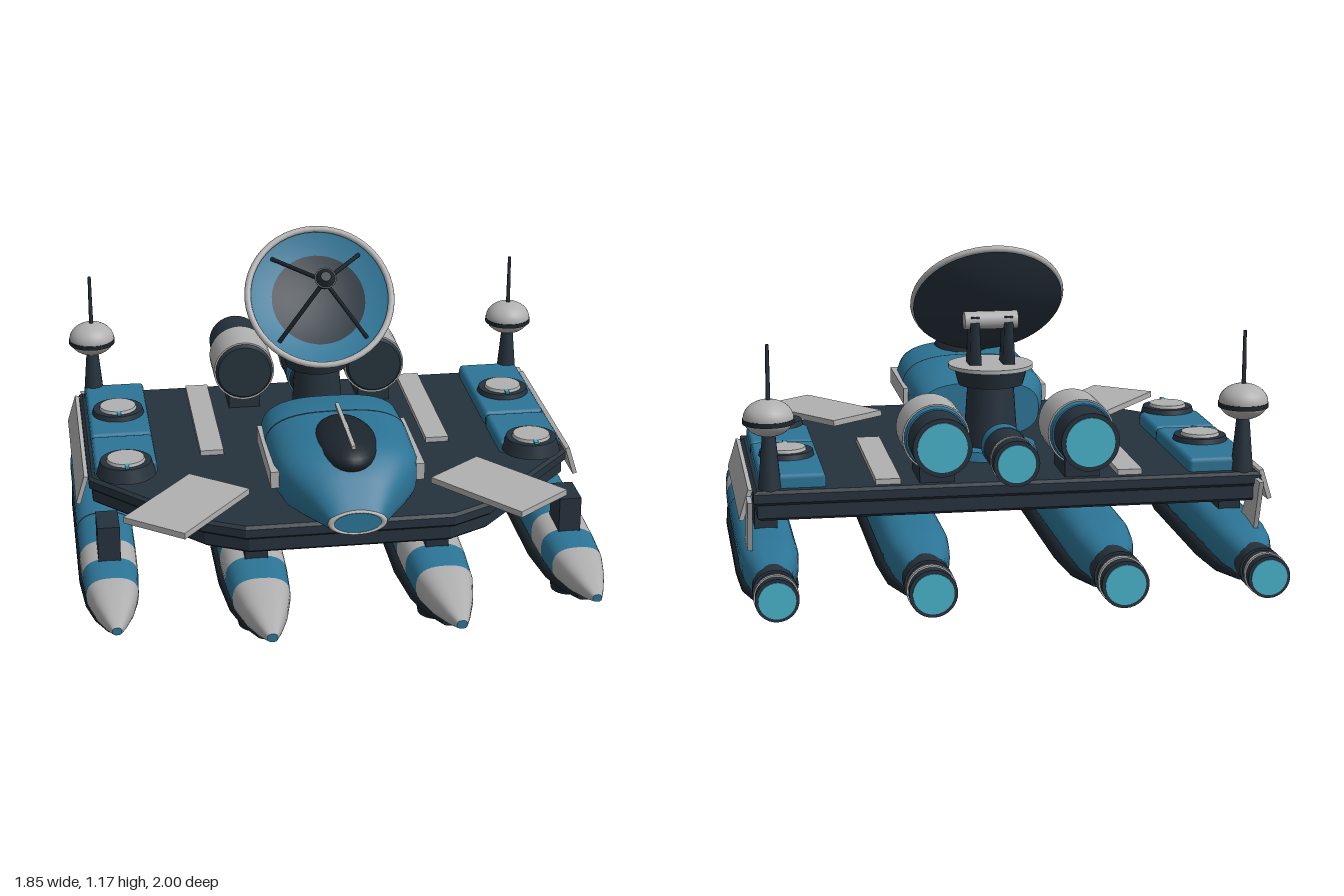
import * as THREE from 'three';
import { RoundedBoxGeometry } from 'three/addons/geometries/RoundedBoxGeometry.js';

const mat = (name, color) => {
  const m = new THREE.MeshStandardMaterial({ color });
  m.name = name;
  return m;
};

export function createModel() {
  const blue = mat('blue paint', 0x2c7496);
  const grey = mat('light grey', 0xb0b0b0);
  const dark = mat('dark slate', 0x26323c);
  const black = mat('near black', 0x1c252c);
  const cyan = mat('cyan glow', 0x48b0c8);
  const root = new THREE.Group();
  root.name = 'floatingPlatform';

  const add = (parent, name, geo, m, x = 0, y = 0, z = 0) => {
    const mesh = new THREE.Mesh(geo, m);
    mesh.name = name;
    mesh.position.set(x, y, z);
    parent.add(mesh);
    return mesh;
  };
  const group = (name, x = 0, y = 0, z = 0, parent = root) => {
    const g = new THREE.Group();
    g.name = name;
    g.position.set(x, y, z);
    parent.add(g);
    return g;
  };
  const box = (w, h, d) => new THREE.BoxGeometry(w, h, d);
  const cyl = (top, bottom, h, seg = 32) => new THREE.CylinderGeometry(top, bottom, h, seg);
  // Cylinder along z, given its front and back radius
  const zcyl = (front, back, len) => cyl(front, back, len).rotateX(Math.PI / 2);
  const rod = (parent, name, a, b, r, m) => {
    const p = new THREE.Vector3(...a), q = new THREE.Vector3(...b);
    const mesh = add(parent, name, cyl(r, r, p.distanceTo(q), 8), m);
    mesh.position.copy(p).add(q).multiplyScalar(0.5);
    mesh.quaternion.setFromUnitVectors(new THREE.Vector3(0, 1, 0), q.sub(p).normalize());
  };

  // Skin over sections [z, halfWidth, yBottom, yTop, material index], front to back
  const loft = (sections, power, seg = 32) => {
    const pos = [], idx = [], geo = new THREE.BufferGeometry();
    const ring = ([z, w, y0, y1]) => {
      for (let j = 0; j < seg; j++) {
        const a = (j / seg) * Math.PI * 2, c = Math.cos(a), s = Math.sin(a);
        pos.push(w * Math.sign(c) * Math.abs(c) ** (2 / power),
          (y0 + y1) / 2 + (y1 - y0) / 2 * Math.sign(s) * Math.abs(s) ** (2 / power), z);
      }
    };
    sections.forEach(ring);
    for (let i = 0; i < sections.length - 1; i++) {
      geo.addGroup(idx.length, seg * 6, sections[i][4] || 0);
      for (let j = 0; j < seg; j++) {
        const a = i * seg + j, b = i * seg + (j + 1) % seg;
        idx.push(a, a + seg, b, b, a + seg, b + seg);
      }
    }
    geo.addGroup(idx.length, seg * 6, 0);
    [sections[0], sections[sections.length - 1]].forEach((s, end) => {
      const base = pos.length / 3;
      ring(s);
      pos.push(0, (s[2] + s[3]) / 2, s[0]);
      for (let j = 0; j < seg; j++) {
        const a = base + j, b = base + (j + 1) % seg;
        idx.push(base + seg, end ? b : a, end ? a : b);
      }
    });
    geo.setAttribute('position', new THREE.Float32BufferAttribute(pos, 3));
    geo.setIndex(idx);
    geo.computeVertexNormals();
    return geo;
  };

  // Pontoons: hull, keel, rear thruster and lift pads
  const hullGeo = loft([
    [1.0, 0.018, 0.165, 0.195, 1], [0.93, 0.042, 0.14, 0.21, 1], [0.82, 0.074, 0.11, 0.23, 1],
    [0.69, 0.1, 0.09, 0.243, 0], [0.535, 0.109, 0.08, 0.25, 1], [0.383, 0.112, 0.075, 0.255, 0],
    [0.137, 0.113, 0.075, 0.255, 2], [0.125, 0.113, 0.075, 0.255, 0], [-0.55, 0.113, 0.075, 0.255, 0],
    [-0.65, 0.104, 0.07, 0.243, 0], [-0.75, 0.08, 0.06, 0.218, 0], [-0.82, 0.075, 0.06, 0.212, 0]], 2.6);
  const keelGeo = loft([
    [0.84, 0.035, 0.09, 0.137], [0.72, 0.075, 0.065, 0.128], [0.58, 0.102, 0.045, 0.12],
    [0.35, 0.117, 0.025, 0.112], [-0.35, 0.117, 0.025, 0.112], [-0.6, 0.108, 0.04, 0.11],
    [-0.8, 0.075, 0.07, 0.11]], 3);
  const pontoon = (name, x, z, scale) => {
    const g = group(name, x, 0, z);
    g.scale.setScalar(scale);
    add(g, 'hull', hullGeo, [blue, grey, black]);
    add(g, 'keel', keelGeo, black);
    add(g, 'thruster', zcyl(0.078, 0.083, 0.1), dark, 0, 0.138, -0.84);
    add(g, 'thrusterNozzle', zcyl(0.074, 0.08, 0.106), dark, 0, 0.138, -0.943);
    add(g, 'thrusterRing', zcyl(0.083, 0.083, 0.018), grey, 0, 0.138, -0.945);
    add(g, 'thrusterGlow', zcyl(0.068, 0.068, 0.006), cyan, 0, 0.138, -0.997);
    for (const pz of [0.565, -0.3]) {
      add(g, 'liftPad', cyl(0.075, 0.068, 0.045), black, 0, 0.027, pz);
      add(g, 'liftGlow', cyl(0.05, 0.05, 0.006), cyan, 0, 0.003, pz);
    }
  };
  for (const s of [-1, 1]) {
    pontoon('innerPontoon', s * 0.318, 0, 1);
    pontoon('outerPontoon', s * 0.82, -0.05, 0.9);
    add(root, 'innerFrontPylon', box(0.08, 0.1, 0.15), dark, s * 0.318, 0.275, 0.475);
    add(root, 'innerRearPylon', box(0.08, 0.1, 0.15), dark, s * 0.318, 0.275, -0.355);
    add(root, 'outerFrontPylon', box(0.078, 0.15, 0.138), dark, s * 0.82, 0.275, 0.378);
    add(root, 'outerRearPylon', box(0.078, 0.11, 0.138), dark, s * 0.82, 0.265, -0.37);
  }

  // Deck in two stepped slabs
  const slab = (grow, depth) => {
    const half = [[0.86, -0.635], [0.86, 0.15], [0.5, 0.55], [0.36, 0.625]];
    const pts = [...half, ...half.map(([x, z]) => [-x, z]).reverse()]
      .map(([x, z]) => new THREE.Vector2(x + Math.sign(x) * grow, z + Math.sign(z) * grow));
    return new THREE.ExtrudeGeometry(new THREE.Shape(pts), { depth, bevelEnabled: true,
      bevelSize: 0.012, bevelThickness: 0.01, bevelSegments: 1 }).rotateX(Math.PI / 2);
  };
  add(root, 'upperDeck', slab(0, 0.03), dark, 0, 0.4, 0);
  add(root, 'lowerDeck', slab(-0.012, 0.05), dark, 0, 0.365, 0);

  // Side equipment, mirrored
  const finShape = new THREE.Shape([[0.48, 0.21], [0.65, 0.21], [0.71, 0.39], [0.62, 0.39]]
    .map((p) => new THREE.Vector2(...p)));
  const finGeo = new THREE.ExtrudeGeometry(finShape, { depth: 0.016, bevelEnabled: false })
    .rotateY(Math.PI / 2);
  for (const s of [-1, 1]) {
    const pods = group('sidePods', s * 0.738, 0, 0);
    add(pods, 'podBase', box(0.215, 0.03, 0.74), black, 0, 0.42, -0.23);
    add(pods, 'rearPod', new RoundedBoxGeometry(0.225, 0.06, 0.493, 1, 0.015), blue, 0, 0.427, -0.362);
    add(pods, 'frontPod', new RoundedBoxGeometry(0.225, 0.06, 0.258, 1, 0.015), blue, 0, 0.427, 0.021);
    for (const z of [-0.32, 0.16]) {
      add(pods, 'hatchRing', cyl(0.092, 0.106, 0.05), dark, 0, 0.45, z);
      add(pods, 'hatchLid', cyl(0.066, 0.07, 0.012), grey, 0, 0.48, z);
      add(pods, 'hatchLight', box(0.014, 0.008, 0.03), cyan, 0, 0.483, z + 0.076);
    }
    add(root, 'sidePanel', box(0.016, 0.108, 0.76), grey, s * 0.897, 0.358, -0.235).rotation.z = s * 0.3;
    const fin = add(root, 'rearFin', finGeo.clone(), grey, s * 0.872 + 0.008, 0, 0);
    fin.rotation.y = Math.PI;
    fin.geometry.rotateY(Math.PI);
    add(root, 'deckStrip', box(0.085, 0.022, 0.63), grey, s * 0.417, 0.418, -0.295);
    add(root, 'foldedPanel', box(0.25, 0.022, 0.41), grey, s * 0.548, 0.432, 0.479).rotation.y = s * 0.667;

    // Sensor mast
    const mast = group('sensorMast', s * 0.815, 0, -0.6);
    add(mast, 'post', cyl(0.022, 0.04, 0.2, 16), dark, 0, 0.5, 0);
    add(mast, 'ball', new THREE.SphereGeometry(0.085, 32, 20), grey, 0, 0.652, 0).scale.y = 0.74;
    add(mast, 'ballBand', cyl(0.087, 0.087, 0.016), black, 0, 0.642, 0);
    add(mast, 'antenna', cyl(0.006, 0.008, 0.2, 8), dark, 0, 0.8, 0);

    // Large rear engine
    const eng = group('rearEngine', s * 0.25, 0.56, 0);
    add(eng, 'casing', zcyl(0.115, 0.115, 0.18), grey, 0, 0, -0.497);
    add(eng, 'frontLip', zcyl(0.1, 0.112, 0.02), dark, 0, 0, -0.402);
    add(eng, 'blueBand', zcyl(0.11, 0.105, 0.025), blue, 0, 0, -0.598);
    add(eng, 'nozzle', zcyl(0.1, 0.1, 0.135), dark, 0, 0, -0.675);
    add(eng, 'glow', zcyl(0.085, 0.085, 0.006), cyan, 0, 0, -0.744);
    add(eng, 'mount', box(0.12, 0.1, 0.2), dark, 0, -0.115, -0.51);
  }

  // Small centre engine
  const mid = group('centreEngine', 0, 0.495, 0);
  add(mid, 'frontCap', zcyl(0.06, 0.074, 0.03), dark, 0, 0, -0.455);
  add(mid, 'blueBand', zcyl(0.076, 0.076, 0.06), blue, 0, 0, -0.49);
  add(mid, 'nozzle', zcyl(0.074, 0.079, 0.22), dark, 0, 0, -0.63);
  add(mid, 'greyRing', zcyl(0.081, 0.081, 0.015), grey, 0, 0, -0.68);
  add(mid, 'glow', zcyl(0.066, 0.066, 0.006), cyan, 0, 0, -0.742);

  // Cabin
  const cabin = group('cabin');
  add(cabin, 'cabinShell', loft([
    [0.775, 0.088, 0.43, 0.505], [0.755, 0.102, 0.425, 0.53], [0.7, 0.148, 0.42, 0.595],
    [0.64, 0.197, 0.415, 0.642], [0.58, 0.235, 0.41, 0.667], [0.5, 0.25, 0.41, 0.672],
    [0.291, 0.255, 0.41, 0.672, 1], [0.279, 0.255, 0.41, 0.672], [0.13, 0.25, 0.41, 0.667],
    [0.03, 0.218, 0.41, 0.615]], 2.8, 40), [blue, black]);
  add(cabin, 'canopy', new THREE.SphereGeometry(1, 32, 20), black, 0, 0.64, 0.495).scale.set(0.11, 0.068, 0.2);
  add(cabin, 'canopySpine', box(0.014, 0.012, 0.38), grey, 0, 0.703, 0.49);
  add(cabin, 'noseRing', new THREE.TorusGeometry(0.09, 0.012, 10, 40), grey, 0, 0.469, 0.768).scale.y = 0.44;
  for (const s of [-1, 1]) {
    add(cabin, 'sideRail', box(0.03, 0.06, 0.405), grey, s * 0.252, 0.545, 0.357);
  }

  // Dish turret
  const turret = group('dishTurret', 0, 0, -0.2);
  add(turret, 'turretBase', cyl(0.16, 0.17, 0.035, 40), blue, 0, 0.425, 0);
  add(turret, 'pedestal', cyl(0.082, 0.098, 0.24), dark, 0, 0.545, 0);
  add(turret, 'collar', cyl(0.13, 0.115, 0.055), dark, 0, 0.688, 0);
  add(turret, 'turntable', cyl(0.15, 0.15, 0.014, 40), grey, 0, 0.727, 0);
  for (const s of [-1, 1]) {
    const arm = add(turret, 'yokeArm', cyl(0.042, 0.062, 0.18, 4).rotateY(Math.PI / 4), dark, s * 0.06, 0.815, 0);
    arm.scale.x = 0.5;
  }
  add(turret, 'axle', cyl(0.032, 0.032, 0.19, 24).rotateZ(Math.PI / 2), grey, 0, 0.888, 0);

  // Dish bowl, facing forward and up
  const dish = group('dish', 0, 0.952, -0.122);
  dish.rotation.x = 0.875;
  const bowl = (r0, r1, drop) => {
    const pts = [];
    for (let i = 0; i <= 8; i++) {
      const r = r0 + (r1 - r0) * i / 8;
      pts.push(new THREE.Vector2(r, -0.06 * (1 - (r / 0.27) ** 2) - drop));
    }
    return new THREE.LatheGeometry(pts, 48);
  };
  add(dish, 'bowlOuterFace', bowl(0.264, 0.172, 0), blue);
  add(dish, 'bowlInnerFace', bowl(0.172, 0, 0), dark);
  add(dish, 'bowlBack', bowl(0, 0.266, 0.014), dark);
  add(dish, 'bowlRim', new THREE.TorusGeometry(0.263, 0.012, 10, 48).rotateX(Math.PI / 2), grey);
  add(dish, 'feedHorn', cyl(0.04, 0.024, 0.05, 16), black, 0, 0.165, 0);
  add(dish, 'feedTip', cyl(0.018, 0.036, 0.02, 16), black, 0, 0.198, 0);
  for (const sx of [-1, 1]) for (const sz of [-1, 1]) {
    rod(dish, 'feedStrut', [0, 0.16, 0], [sx * 0.16, -0.018, sz * 0.16], 0.008, black);
  }
  return root;
}
